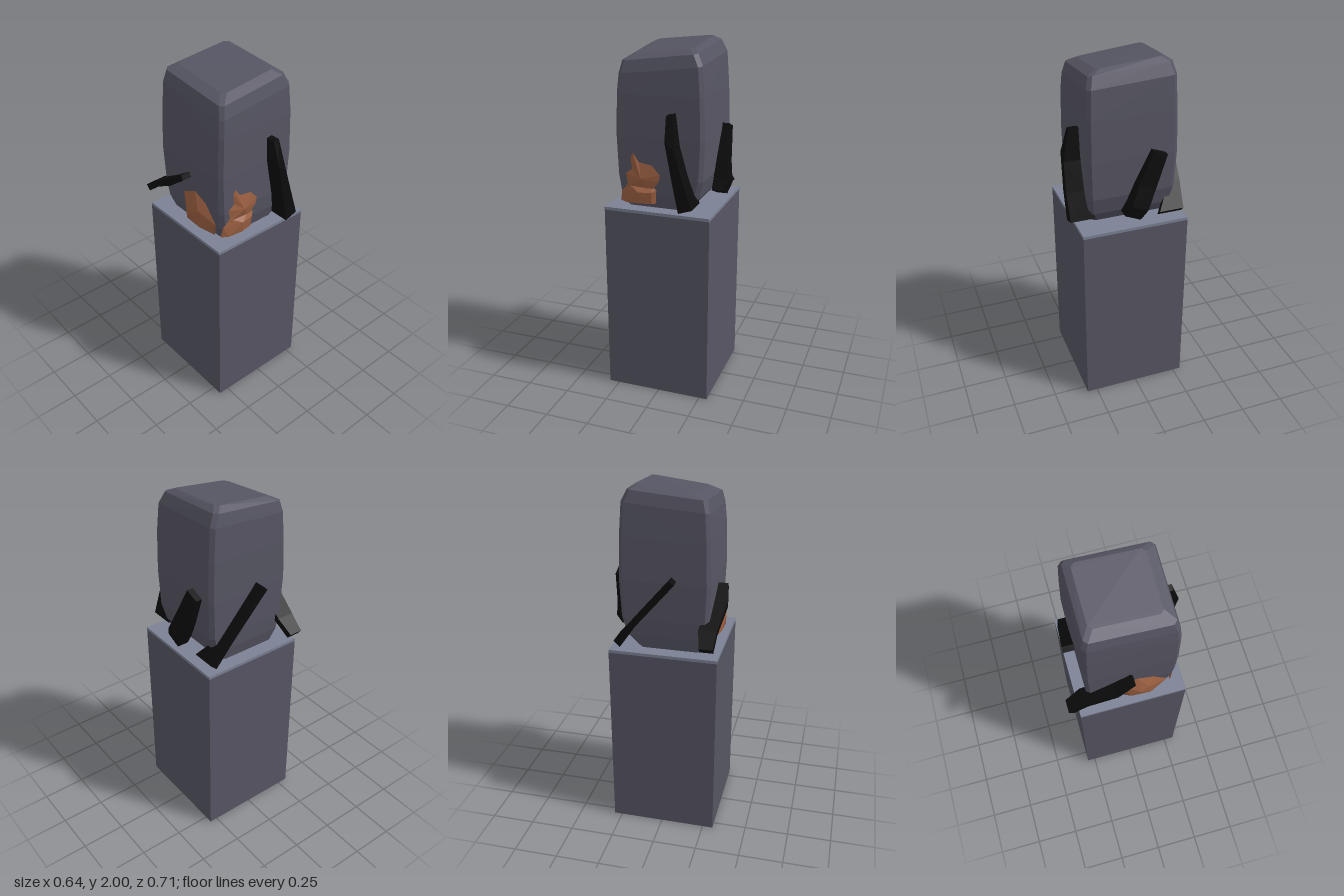
import * as THREE from 'three';
import { ConvexGeometry } from 'three/addons/geometries/ConvexGeometry.js';

const V = (x, y, z) => new THREE.Vector3(x, y, z);

function material(name, color) {
  const m = new THREE.MeshStandardMaterial({ color });
  m.name = name;
  return m;
}

export function createModel() {
  const root = new THREE.Group();
  root.name = 'stoneOnPedestal';
  const stone = material('stone', 0x565563);
  const slate = material('paleSlate', 0x7b8194);
  const char = material('charredWood', 0x0c0c0c);
  const rust = material('rust', 0x9a5f41);

  function add(name, geometry, mat, parent = root) {
    const mesh = new THREE.Mesh(geometry, mat);
    mesh.name = name;
    parent.add(mesh);
    return mesh;
  }

  // Pedestal with a thin pale cap
  add('pedestal', new THREE.BoxGeometry(0.605, 1.088, 0.605), stone).position.set(-0.007, 0.544, 0.006);
  add('pedestalCap', new THREE.BoxGeometry(0.605, 0.017, 0.605), slate).position.set(-0.007, 1.0965, 0.006);

  // Boulder: hull of chamfered rectangles; the two top rings follow a sloping plane
  // ring: y (or offset below the slope), x0, x1, z0, z1, chamfer, sloped
  const rings = [
    [1.105, -0.215, 0.15, -0.215, 0.225, 0.03, false],
    [1.18, -0.24, 0.21, -0.232, 0.245, 0.025, false],
    [1.28, -0.25, 0.236, -0.24, 0.255, 0.022, false],
    [1.5, -0.257, 0.244, -0.247, 0.258, 0.02, false],
    [1.73, -0.25, 0.238, -0.242, 0.256, 0.02, false],
    [0.085, -0.24, 0.225, -0.236, 0.248, 0.02, true],
    [0.022, -0.225, 0.195, -0.222, 0.23, 0.02, true],
    [0, -0.17, 0.16, -0.185, 0.18, 0.02, true],
  ];
  const points = [];
  for (const [y, x0, x1, z0, z1, c, sloped] of rings) {
    for (const [x, sx] of [[x0, 1], [x1, -1]]) {
      for (const [z, sz] of [[z0, 1], [z1, -1]]) {
        for (const [px, pz] of [[x + sx * c, z], [x, z + sz * c]]) {
          const top = Math.min(2, 1.97 + 0.12 * px - 0.1 * pz);
          points.push(V(px, sloped ? top - y : y, pz));
        }
      }
    }
  }
  add('boulder', new ConvexGeometry(points), stone);

  // Leaning plank: convex pieces between sections [u0, y0, u1, y1, depth0, depth1]
  function plank(name, toPoint, sections) {
    const group = new THREE.Group();
    group.name = name;
    const corners = ([u0, y0, u1, y1, d0, d1]) => [
      toPoint(u0, y0, d0), toPoint(u0, y0, d1), toPoint(u1, y1, d0), toPoint(u1, y1, d1),
    ];
    for (let i = 0; i + 1 < sections.length; i++) {
      add(name + 'Piece', new ConvexGeometry([...corners(sections[i]), ...corners(sections[i + 1])]), char, group);
    }
    root.add(group);
  }
  const alongX = (u, y, d) => V(u, y, d);
  const alongZ = (u, y, d) => V(d, y, u);

  plank('frontPlank', alongX, [
    [0.055, 1.64, 0.09, 1.645, 0.25, 0.31],
    [0.06, 1.51, 0.113, 1.47, 0.25, 0.35],
    [0.102, 1.3, 0.158, 1.31, 0.25, 0.355],
    [0.135, 1.13, 0.21, 1.155, 0.21, 0.35],
  ]);
  plank('backPlank', alongX, [
    [-0.075, 1.515, -0.05, 1.54, -0.31, -0.24],
    [0.14, 1.26, 0.165, 1.285, -0.295, -0.23],
    [0.235, 1.122, 0.27, 1.155, -0.28, -0.14],
  ]);
  plank('leftPlank', alongZ, [
    [-0.09, 1.535, -0.17, 1.505, 0.235, 0.28],
    [-0.005, 1.36, -0.1, 1.32, 0.235, 0.297],
    [0.04, 1.25, -0.05, 1.21, 0.235, 0.32],
    [0.075, 1.19, -0.015, 1.15, 0.235, 0.3],
  ]);
  plank('rightPlank', alongZ, [
    [-0.355, 1.195, -0.33, 1.165, -0.295, -0.22],
    [-0.27, 1.265, -0.25, 1.235, -0.3, -0.2],
    [-0.1, 1.37, -0.085, 1.335, -0.325, -0.22],
    [0, 1.44, 0.012, 1.41, -0.31, -0.23],
  ]);

  // Rust flame on the front: faceted fan from a raised centre to a jagged outline
  const outline = [
    [-0.2, 1.22], [-0.06, 1.2], [-0.01, 1.26], [0, 1.3], [-0.045, 1.355],
    [-0.125, 1.37], [-0.16, 1.425], [-0.175, 1.4], [-0.165, 1.325], [-0.2, 1.295], [-0.19, 1.24],
  ];
  const flame = [];
  outline.forEach(([x, y], i) => {
    const [nx, ny] = outline[(i + 1) % outline.length];
    flame.push(-0.105, 1.275, 0.275, x, y, 0.255, nx, ny, 0.255);
  });
  const flameGeometry = new THREE.BufferGeometry();
  flameGeometry.setAttribute('position', new THREE.Float32BufferAttribute(flame, 3));
  flameGeometry.computeVertexNormals();
  add('frontFlame', flameGeometry, rust);

  // Rust lumps at the foot of the boulder
  add('frontFlameBase', new ConvexGeometry([
    V(-0.24, 1.13, 0.235), V(-0.23, 1.19, 0.245), V(-0.19, 1.235, 0.25), V(-0.06, 1.235, 0.25),
    V(-0.025, 1.215, 0.25), V(-0.035, 1.13, 0.235), V(-0.2, 1.13, 0.26), V(-0.05, 1.135, 0.262),
    V(-0.12, 1.2, 0.283), V(-0.12, 1.135, 0.275), V(-0.045, 1.2, 0.268),
  ]), rust);
  add('sideFlame', new ConvexGeometry([
    V(-0.245, 1.12, -0.05), V(-0.25, 1.28, -0.06), V(-0.252, 1.335, 0.04), V(-0.252, 1.3, 0.13),
    V(-0.25, 1.2, 0.21), V(-0.24, 1.12, 0.19), V(-0.295, 1.22, 0.05), V(-0.285, 1.15, 0.11),
    V(-0.285, 1.25, 0.1), V(-0.28, 1.15, 0),
  ]), rust);

  return root;
}
